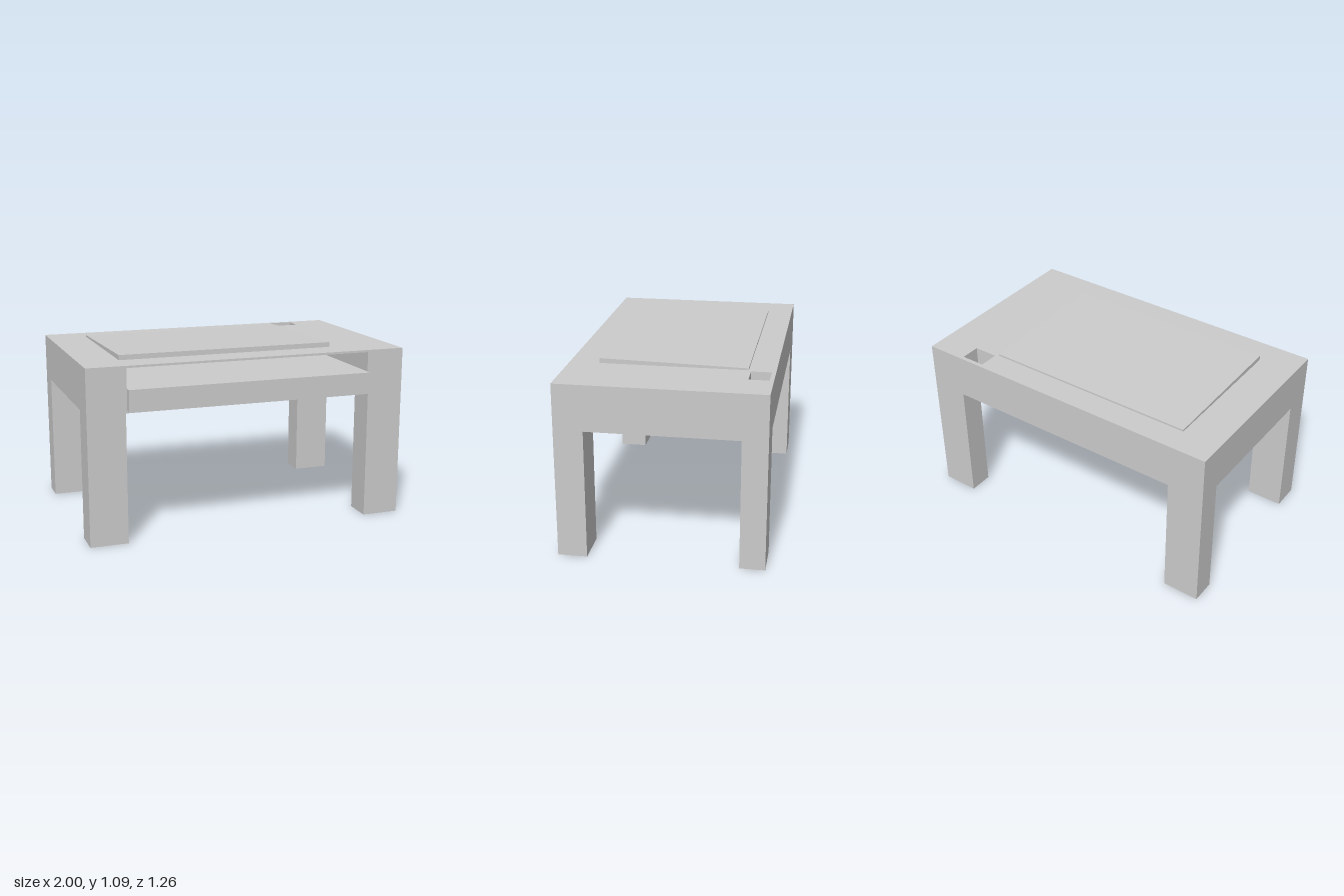
import * as THREE from 'three';

const material = new THREE.MeshStandardMaterial({ color: 0xcccccc });

function add(group, name, geometry) {
  const mesh = new THREE.Mesh(geometry, material);
  mesh.name = name;
  group.add(mesh);
  return mesh;
}

// Box given by its limits on each axis
function block(group, name, [x0, x1], [y0, y1], [z0, z1]) {
  const mesh = add(group, name, new THREE.BoxGeometry(x1 - x0, y1 - y0, z1 - z0));
  mesh.position.set((x0 + x1) / 2, (y0 + y1) / 2, (z0 + z1) / 2);
  return mesh;
}

const points = (list) => list.map(([x, z]) => new THREE.Vector2(x, -z));

// Horizontal layer cut to a plan outline of [x, z] points, pierced by the cable hole
function layer(group, name, outline, y0, y1) {
  const shape = new THREE.Shape(points(outline));
  shape.holes.push(new THREE.Path(points([[0.605, -0.605], [0.755, -0.605], [0.755, -0.485], [0.605, -0.485]])));
  const geometry = new THREE.ExtrudeGeometry(shape, { depth: y1 - y0, bevelEnabled: false });
  geometry.rotateX(-Math.PI / 2);
  add(group, name, geometry).position.y = y0;
}

export function createModel() {
  const model = new THREE.Group();
  model.name = 'desk';
  const back = -0.63, front = 0.593, under = 0.787, top = 1.063;
  const floor = 0.8, ceiling = 1.05, recess = 0.762, recessBack = -0.42;

  // Desk body: floor, U-shaped wall around the front recess, and top
  const plan = [[-1, front], [1, front], [1, back], [-1, back]];
  const walls = [
    [-1, front], [-recess, front], [-recess, recessBack], [recess, recessBack],
    [recess, front], [1, front], [1, back], [-1, back],
  ];
  layer(model, 'bodyFloor', plan, under, floor);
  layer(model, 'bodyWalls', walls, floor, ceiling);
  layer(model, 'deskTop', plan, ceiling, top);

  // Four square legs
  for (const [side, x] of [['Right', [-1, -0.77]], ['Left', [0.77, 1]]]) {
    block(model, 'front' + side + 'Leg', x, [0, under], [0.418, front]);
    block(model, 'back' + side + 'Leg', x, [0, under], [back, -0.48]);
  }

  // Sliding tray standing out of the recess
  block(model, 'tray', [-0.76, 0.76], [floor + 0.002, 0.93], [recessBack + 0.01, 0.63]);

  // Work panel on the top, sloping down towards the back
  const profile = new THREE.Shape(points([[-0.412, -1.058], [0.47, -1.058], [0.47, -1.074], [-0.412, -1.093]]));
  const panel = new THREE.ExtrudeGeometry(profile, { depth: 1.345, bevelEnabled: false });
  panel.rotateY(Math.PI / 2);
  add(model, 'slopedPanel', panel).position.x = -0.76;

  return model;
}
